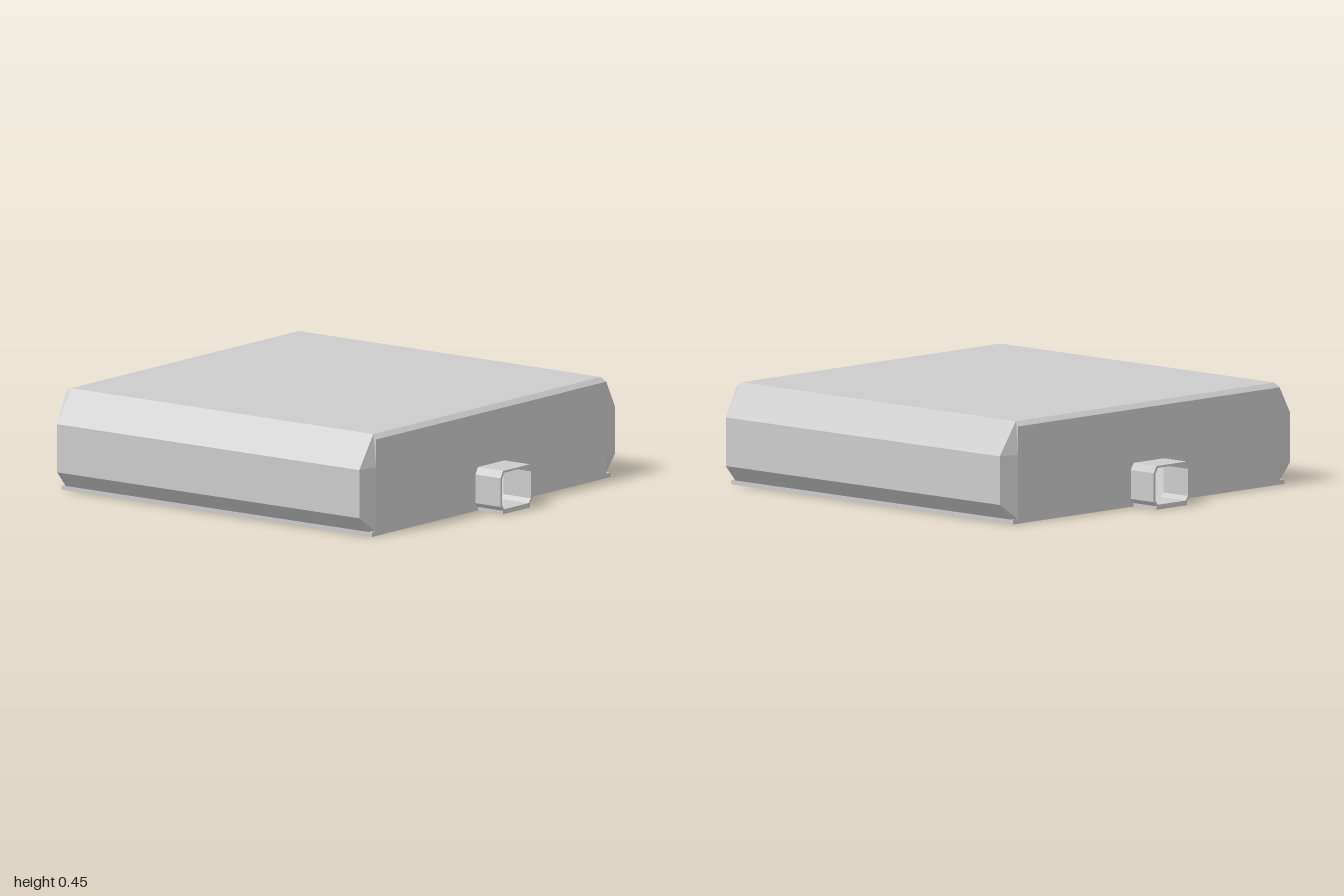
import * as THREE from 'three';

const material = new THREE.MeshStandardMaterial({ color: 0xcccccc, flatShading: true, side: THREE.DoubleSide });

// Mirror a right-hand half profile (bottom to top) into a counter-clockwise outline
const mirror = (half) => [...half, ...half.map(([x, y]) => [-x, y]).reverse()];
const points = (list) => list.map(([x, y]) => new THREE.Vector2(x, y));

// Half profiles of the hull
const FULL = mirror([[0.85, 0.02], [0.91, 0.09], [0.91, 0.305], [0.81, 0.45]]);
const END = mirror([[0.82, 0.02], [0.82, 0.09], [0.82, 0.305], [0.82, 0.43]]);
// Doorway outlines
const DOOR_OUTER = mirror([[0.095, 0.015], [0.113, 0.035], [0.113, 0.163], [0.095, 0.193]]);
const DOOR_INNER = mirror([[0.087, 0.021], [0.102, 0.04], [0.102, 0.16], [0.087, 0.184]]);

// Join the cross-sections lengthwise, leaving the underside open for the floor plate
function loft(sections) {
  const pos = [];
  for (let s = 0; s < sections.length - 1; s++) {
    const [a, za] = sections[s];
    const [b, zb] = sections[s + 1];
    for (let i = 0; i < a.length - 1; i++) {
      const p = [...a[i], za], q = [...a[i + 1], za];
      const r = [...b[i + 1], zb], t = [...b[i], zb];
      pos.push(...p, ...q, ...r, ...p, ...r, ...t);
    }
  }
  const geo = new THREE.BufferGeometry();
  geo.setAttribute('position', new THREE.Float32BufferAttribute(pos, 3));
  geo.computeVertexNormals();
  return geo;
}

export function createModel() {
  const model = new THREE.Group();
  const add = (parent, name, geo, x = 0, y = 0, z = 0) => {
    const mesh = new THREE.Mesh(geo, material);
    mesh.name = name;
    mesh.position.set(x, y, z);
    parent.add(mesh);
  };

  // Hollow hull with chamfered ends
  add(model, 'hull', loft([[END, -0.86], [FULL, -0.837], [FULL, 0.837], [END, 0.86]]));

  // Floor slab
  add(model, 'floorPlate', new THREE.BoxGeometry(1.7, 0.02, 1.72), 0, 0.01, 0);

  // End wall with doorway, short passage and its floor, at both ends
  const wall = new THREE.Shape(points(END));
  wall.holes.push(new THREE.Path(points(DOOR_INNER)));
  const tube = new THREE.Shape(points(DOOR_OUTER));
  tube.holes.push(new THREE.Path(points(DOOR_INNER)));
  for (const [name, turn] of [['frontEnd', 0], ['backEnd', Math.PI]]) {
    const end = new THREE.Group();
    end.name = name;
    end.rotation.y = turn;
    add(end, 'endWall', new THREE.ShapeGeometry(wall), 0, 0, 0.86);
    add(end, 'passage', new THREE.ExtrudeGeometry(tube, { depth: 0.15, bevelEnabled: false }), 0, 0, 0.85);
    add(end, 'passageFloor', new THREE.BoxGeometry(0.19, 0.02, 0.14), 0, 0.01, 0.93);
    model.add(end);
  }
  return model;
}
